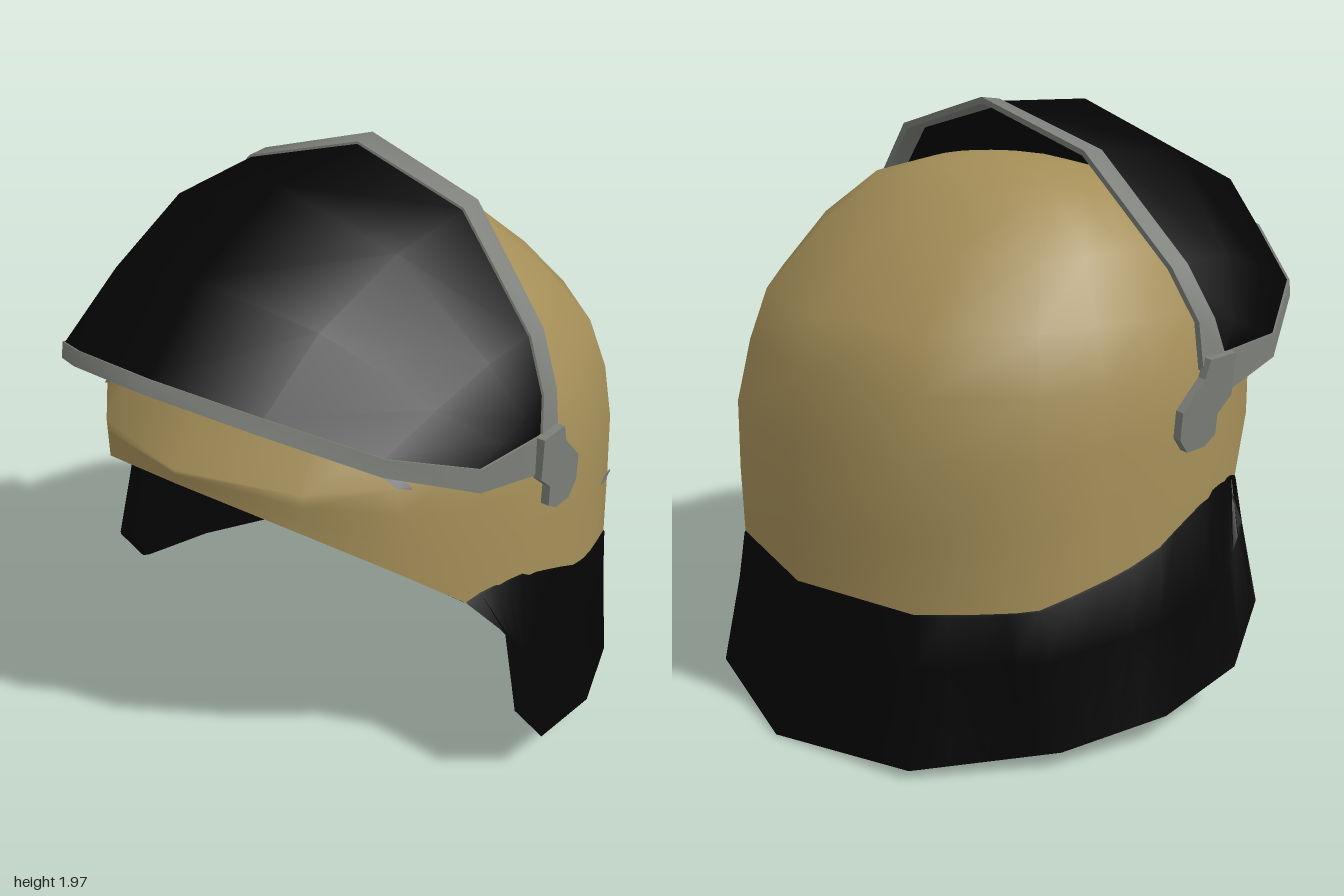
import * as THREE from 'three';
import { mergeVertices, toCreasedNormals } from 'three/addons/utils/BufferGeometryUtils.js';

const V = (x, y, z) => new THREE.Vector3(x, y, z);
const mat = (name, color) => new THREE.MeshStandardMaterial({ name, color, side: THREE.DoubleSide });

// Linear lookup in a table whose rows start with the key
function lookup(table, k) {
  let i = 0;
  while (i < table.length - 2 && k > table[i + 1][0]) i++;
  const a = table[i], b = table[i + 1];
  const t = THREE.MathUtils.clamp((k - a[0]) / (b[0] - a[0]), 0, 1);
  return a.slice(1).map((v, j) => v + (b[j + 1] - v) * t);
}

// Surface through rows of points
function loft(rows, crease) {
  const n = rows[0].length, index = [];
  for (let r = 0; r < rows.length - 1; r++) {
    for (let c = 0; c < n - 1; c++) {
      const a = r * n + c, b = a + 1, d = a + n, e = d + 1;
      index.push(a, b, e, a, e, d);
    }
  }
  let g = new THREE.BufferGeometry().setFromPoints(rows.flat());
  g.setIndex(index);
  g = mergeVertices(g, 1e-5);
  g.computeVertexNormals();
  return crease ? toCreasedNormals(g, crease) : g;
}

// Half a row (starting on the centre line) completed to both sides
const mirror = half => [
  ...half.slice(1).reverse().map(p => V(-p.x, p.y, p.z)),
  ...half.map(p => p.clone()),
];

// Shell sections: height, half width, front reach, back reach
const SECTIONS = [
  [0.5, 0.83, 0.86, 0.89], [0.72, 0.82, 0.88, 0.9], [0.95, 0.815, 0.89, 0.91],
  [1.19, 0.79, 0.91, 0.84], [1.36, 0.73, 0.77, 0.78], [1.55, 0.61, 0.6, 0.58],
  [1.7, 0.42, 0.38, 0.41], [1.75, 0.25, 0.2, 0.25], [1.79, 0, -0.05, 0.05],
];
// Shell plan: degrees from the front, then x and z as shares of the reach
const PLAN = [
  [0, 0, 1], [28, 0.5, 0.88], [49, 0.75, 0.66], [63, 0.88, 0.45], [72, 0.94, 0.32], [80, 0.98, 0.18],
  [97, 1, -0.11], [110, 0.945, -0.33], [124, 0.865, -0.58], [148, 0.54, -0.88], [180, 0, -1],
];
// Lower rim height by depth
const RIM = [
  [-0.95, 0.5], [-0.6, 0.51], [-0.4, 0.55], [-0.2, 0.6], [0, 0.68],
  [0.2, 0.75], [0.34, 0.75], [0.4, 0.72], [0.91, 1.15],
];
const rimY = deg => lookup(RIM, 0.9 * lookup(PLAN, Math.abs(deg))[1])[0];

// Point on the shell at an angle (0 = front, positive to +x) and height
function shellPoint(deg, y, grow = 1) {
  const [hx, zf, zb] = lookup(SECTIONS, y);
  const [s, c] = lookup(PLAN, Math.abs(deg));
  return V(Math.sign(deg) * hx * s * grow, y, c * (c > 0 ? zf : zb) * grow);
}

// Rows of shell points over a list of angles, rim first and crown last
function shellRows(angles, scale) {
  const rows = [0, 0.35, 0.7, 1].map(t =>
    angles.map(a => shellPoint(a, THREE.MathUtils.lerp(rimY(a), 1.19, t))));
  SECTIONS.slice(4, -1).forEach(([y]) => rows.push(angles.map(a => shellPoint(a, y))));
  rows.push(angles.map(() => V(0, 1.79, -0.05)));
  rows.flat().forEach(p => p.set(p.x * scale, p.y * (scale < 1 ? 0.988 : 1), p.z * scale));
  return rows;
}

// Rectangular bar along a line; widths gives the in-surface offset at each point
function bar(points, widths) {
  const centre = V(0, 1.2, 0.2);
  return loft(points.map((p, i) => {
    const out = p.clone().sub(centre).normalize();
    const corner = (r, w) => p.clone().addScaledVector(out, r).addScaledVector(widths[i], w);
    return [corner(-0.014, 0), corner(0.008, 0), corner(0.008, 1), corner(-0.014, 1), corner(-0.014, 0)];
  }), 0.7);
}

export function createModel() {
  const gold = mat('gold shell', 0xa48e58);
  const black = mat('black', 0x040404);
  const grey = mat('grey frame', 0x7b7e78);
  const worn = mat('worn metal', 0x77787a);
  const model = new THREE.Group();
  model.name = 'helmet';
  const add = (name, geometry, material, parent = model) => {
    const m = new THREE.Mesh(geometry, material);
    m.name = name;
    parent.add(m);
  };

  // Shell, rim edge and inside; the brow is gold inside, the rest has a dark lining
  const half = PLAN.map(([deg]) => deg);
  const around = [...half.slice(1).reverse().map(d => -d), ...half];
  const sideOnly = half.filter(d => d >= 63);
  const outer = shellRows(around, 1), inner = shellRows(around, 0.975);
  add('shell', loft(outer), gold);
  add('shellRim', loft([inner[0], outer[0]]), black);
  add('browInside', loft(shellRows(around.filter(d => Math.abs(d) <= 63), 0.975)), gold);
  add('leftLining', loft(shellRows(sideOnly, 0.975)), black);
  add('rightLining', loft(shellRows(sideOnly.map(d => -d).reverse(), 0.975)), black);

  // Flared neck guard: angle at the rim, middle point, bottom point
  const guard = [
    [0, 180, 0, 0.34, -0.9, 0, 0, -1],
    [1, 148, 0.46, 0.34, -0.81, 0.5, 0.03, -0.86],
    [2, 124, 0.74, 0.36, -0.5, 0.78, 0.06, -0.48],
    [3, 97, 0.85, 0.4, -0.12, 0.9, 0.1, -0.13],
    [4, 78, 0.85, 0.45, 0.2, 0.91, 0.16, 0.2],
    [5, 63, 0.82, 0.61, 0.32, 0.88, 0.34, 0.335],
  ];
  // Rows run from under the shell, down the outside and back up the inside
  const guardRows = Array.from({ length: 7 }, () => []);
  for (let i = 0; i <= 20; i++) {
    const [a, mx, my, mz, bx, by, bz] = lookup(guard, i / 4);
    const y = rimY(a), inset = i < 20 ? 0.97 : 1;
    [
      shellPoint(a, y + 0.03, 0.985),
      shellPoint(a, y, 1.004),
      V(mx, my, mz),
      V(bx, by, bz),
      V(bx * inset, by + 0.01, bz * inset),
      V(mx * inset, my, mz * inset),
      shellPoint(a, y + 0.03, 0.97),
    ].forEach((p, r) => {
      if (i === 0) p.x = 0;
      guardRows[r].push(p);
    });
  }
  add('neckGuard', loft(guardRows.map(mirror), 0.7), black);

  // Raised visor, sitting slightly to one side
  const visor = new THREE.Group();
  visor.name = 'visor';
  visor.position.x = -0.025;
  model.add(visor);
  const front = [V(0, 1.51, 0.965), V(0.365, 1.465, 0.89), V(0.645, 1.345, 0.7), V(0.795, 1.24, 0.43), V(0.825, 1.24, 0.16)];
  const rear = [V(0, 1.95, -0.03), V(0.425, 1.83, 0), V(0.725, 1.51, 0.07), V(0.805, 1.35, 0.11), V(0.825, 1.24, 0.14)];
  const panel = [
    front,
    [V(0, 1.74, 0.75), V(0.4, 1.66, 0.68), V(0.685, 1.43, 0.5), V(0.808, 1.28, 0.32), V(0.826, 1.24, 0.153)],
    [V(0, 1.925, 0.37), V(0.43, 1.8, 0.35), V(0.72, 1.5, 0.28), V(0.812, 1.32, 0.21), V(0.826, 1.24, 0.147)],
    rear,
  ];
  add('visorPanel', loft(panel.map(mirror)), black, visor);

  // Visor frame bars
  const mirrorWidths = list => [...list.slice(1).reverse(), ...list];
  add('frontFrame', bar(mirror(front), mirrorWidths([
    V(0, -0.04, 0.025), V(0, -0.045, 0.02), V(0, -0.055, 0.01), V(0, -0.08, 0), V(0, -0.13, 0.01),
  ])), grey, visor);
  add('rearFrame', bar(mirror(rear), mirrorWidths([
    V(0, 0.012, -0.08), V(0, 0.005, -0.08), V(0, 0, -0.075), V(0, 0, -0.075), V(0, -0.04, -0.1),
  ])), grey, visor);

  // Side pivot plates, drawn in (-z, y) and leaning in slightly at the bottom
  const outline = [
    [-0.17, 1.24], [-0.17, 1.1], [-0.11, 1.05], [-0.11, 0.98], [-0.06, 0.95],
    [0.02, 0.95], [0.06, 1], [0.06, 1.09], [-0.03, 1.18], [-0.05, 1.24],
  ].map(([u, v]) => new THREE.Vector2(u, v - 1.1));
  for (const side of [1, -1]) {
    const g = new THREE.ExtrudeGeometry(new THREE.Shape(outline), { depth: 0.028, bevelEnabled: false });
    g.rotateY(Math.PI / 2);
    g.translate(-0.014, 0, 0);
    g.rotateZ(side > 0 ? -0.02 : 0.08);
    g.translate(side > 0 ? 0.842 : -0.828, 1.1, 0);
    add(side > 0 ? 'leftPivot' : 'rightPivot', g, grey, visor);
  }

  // Scuffs on the shell: angle in degrees, height, half thickness
  const scuffs = [
    [[-56, 1.16, 0.008], [-48, 1.22, 0.035], [-38, 1.295, 0.045], [-30, 1.335, 0.022], [-21, 1.35, 0.006]],
    [[45, 1.235, 0.005], [49, 1.21, 0.016], [52, 1.185, 0.005]],
    [[115, 0.8, 0.005], [119, 0.79, 0.014], [124, 0.775, 0.005]],
    [[136, 0.77, 0.01], [138, 0.765, 0.012], [140, 0.765, 0.005]],
  ];
  scuffs.forEach((line, i) => {
    const edge = s => line.map(([d, y, h]) => shellPoint(d, y + s * h, 1.01));
    add('scuff' + (i + 1), loft([edge(-1), edge(1)]), worn);
  });

  return model;
}
